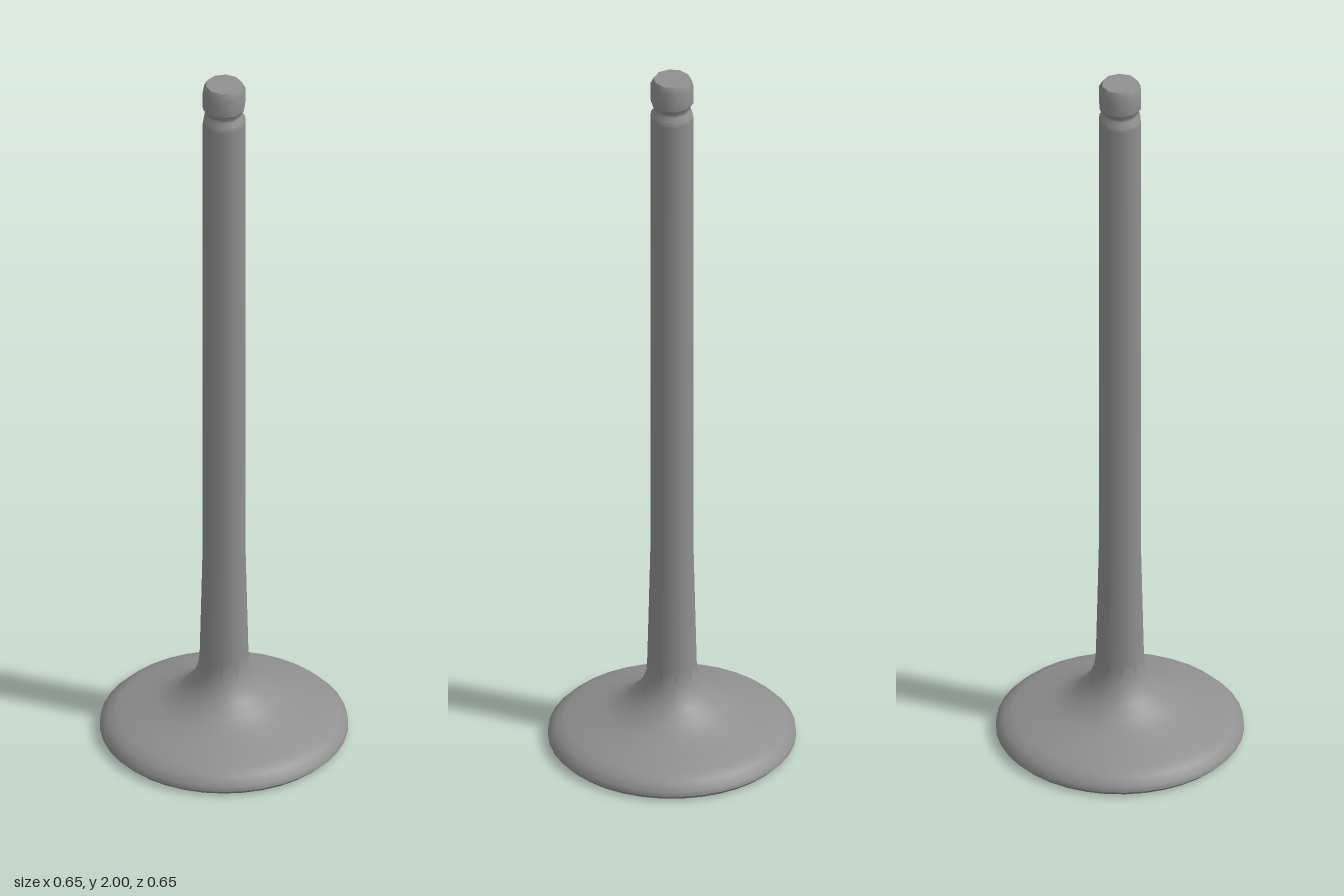
import * as THREE from 'three';

const steel = new THREE.MeshStandardMaterial({ color: 0x909090 });
steel.name = 'steel';

// Smooth revolved surface with a corner on the x axis; profile runs bottom to top
function revolve(name, sides, profile) {
  const points = profile.map(([r, y]) => new THREE.Vector2(r, y));
  const mesh = new THREE.Mesh(new THREE.LatheGeometry(points, sides, Math.PI / 2), steel);
  mesh.name = name;
  return mesh;
}

// Flat disc facing up (1) or down (-1)
function disc(name, sides, radius, y, facing) {
  const mesh = new THREE.Mesh(new THREE.CircleGeometry(radius, sides), steel);
  mesh.name = name;
  mesh.rotation.x = -facing * Math.PI / 2;
  mesh.position.y = y;
  return mesh;
}

export function createModel() {
  const group = new THREE.Group();
  group.name = 'engineValve';
  const headSides = 38, stemSides = 10;

  // Wide head: flat face, thin margin, seat and concave neck
  group.add(disc('headFace', headSides, 0.312, 0, -1));
  group.add(revolve('headBevel', headSides, [[0.312, 0], [0.324, 0.012]]));
  group.add(revolve('headAndNeck', headSides, [
    [0.324, 0.012], [0.323, 0.027], [0.305, 0.045], [0.28, 0.058], [0.23, 0.074],
    [0.17, 0.092], [0.13, 0.114], [0.1, 0.14], [0.08, 0.168], [0.067, 0.2], [0.064, 0.23],
  ]));

  // Slim stem, slightly tapered near the neck
  group.add(revolve('stem', stemSides, [
    [0.068, 0.185], [0.065, 0.24], [0.061, 0.4], [0.057, 0.57], [0.057, 1.885],
  ]));

  // Keeper groove and tip
  group.add(revolve('keeperGroove', stemSides, [
    [0.057, 1.885], [0.055, 1.898], [0.047, 1.907], [0.047, 1.916], [0.056, 1.93],
  ]));
  group.add(revolve('tip', stemSides, [[0.056, 1.93], [0.057, 1.94], [0.057, 1.982], [0.048, 2]]));
  group.add(disc('tipFace', stemSides, 0.048, 2, 1));
  return group;
}
